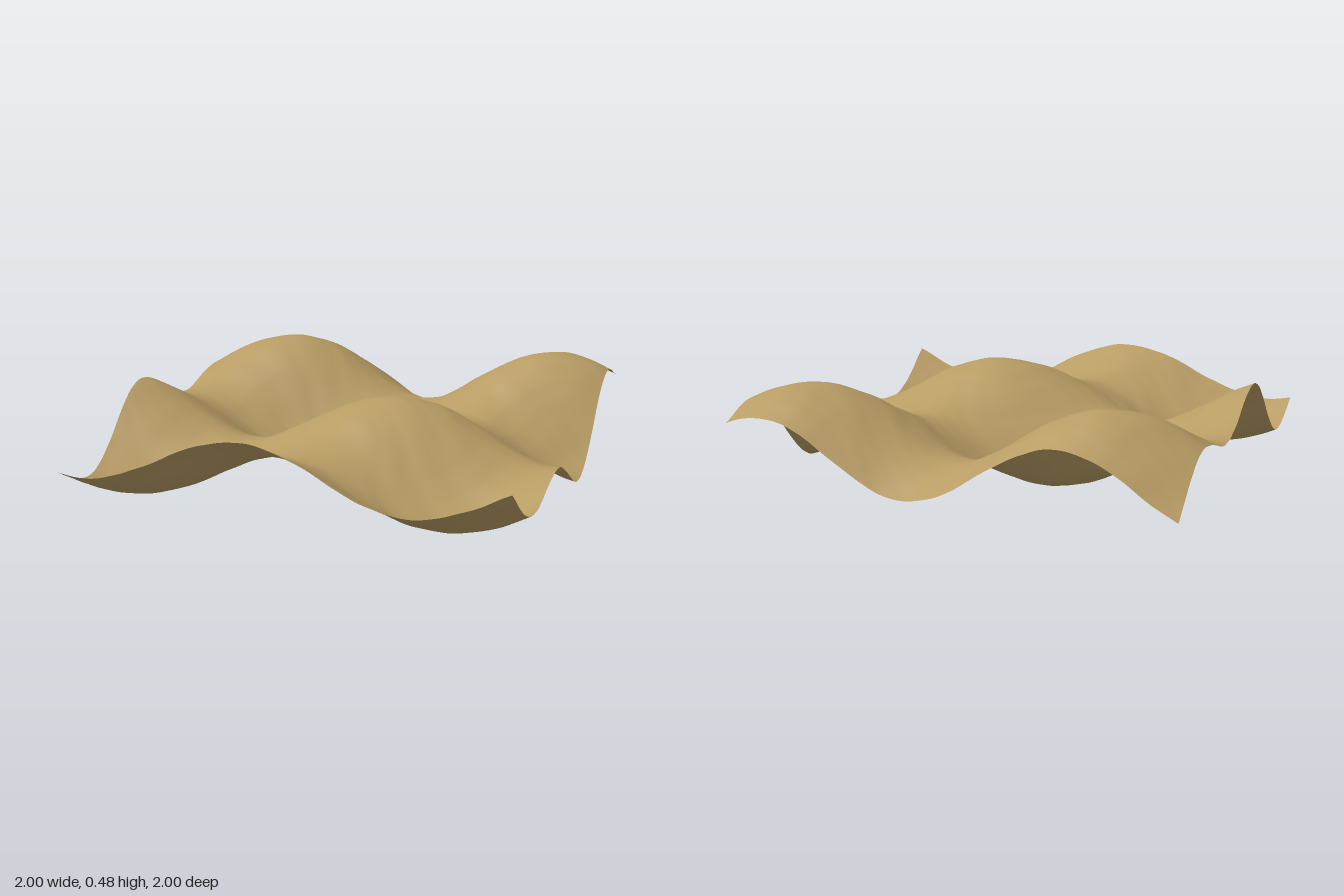
import * as THREE from 'three';

// Height of the sand at (x, z): crossing swells, a broad undulation and faint ripples
function height(x, z) {
  const crest = Math.cos(6.7 * (z - 0.22));
  const ridge = 0.34 - 0.51 * z + 0.025 * crest;
  const diagonal = (0.13 - 0.013 * z) * Math.cos((4.5 - 0.2 * z) * (x - ridge));
  const broad = 0.013 * Math.cos(3.7 * (z - 0.75)) - 0.012 * x * z;
  const ripples =
    0.003 * Math.sin(15 * x + 2 * Math.sin(6 * z)) * Math.sin(19 * z + 2 * Math.sin(7 * x)) +
    0.0012 * Math.sin(31 * x + 3 * Math.sin(11 * z)) * Math.sin(43 * z + 3 * Math.sin(9 * x));
  return 0.242 + 0.092 * crest + diagonal + broad + ripples;
}

export function createModel() {
  const group = new THREE.Group();
  group.name = 'duneTerrain';

  // Flat sheet, displaced vertically into rolling dunes
  const sheet = new THREE.PlaneGeometry(2, 2, 128, 128);
  sheet.rotateX(-Math.PI / 2);
  const p = sheet.attributes.position;
  for (let i = 0; i < p.count; i++) p.setY(i, height(p.getX(i), p.getZ(i)));

  // Rest the lowest hollow on the ground
  sheet.computeBoundingBox();
  sheet.translate(0, -sheet.boundingBox.min.y, 0);
  sheet.computeVertexNormals();

  const sand = new THREE.MeshStandardMaterial({ color: 0xb89c64, side: THREE.DoubleSide });
  const dunes = new THREE.Mesh(sheet, sand);
  dunes.name = 'sandSurface';
  group.add(dunes);
  return group;
}
